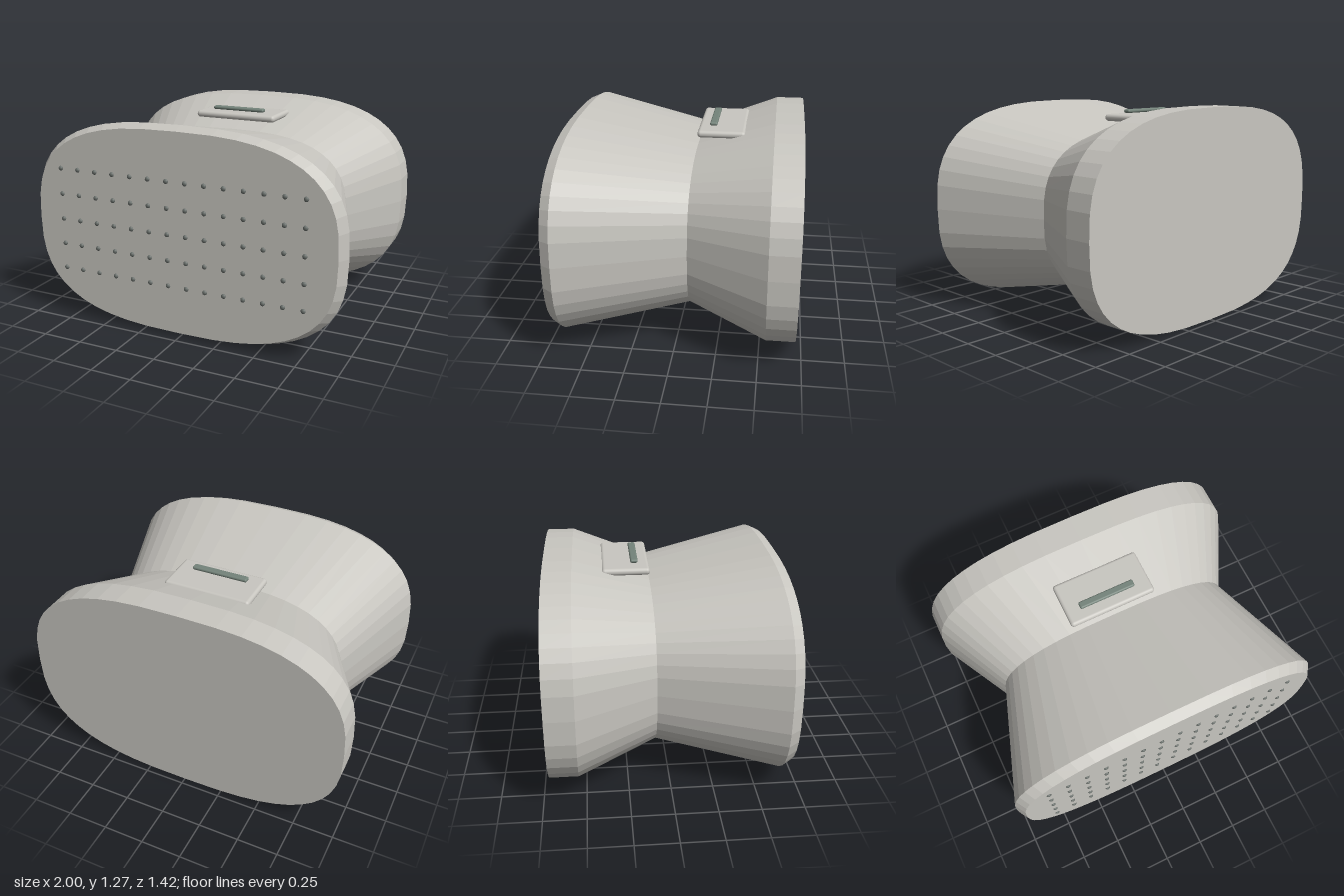
import * as THREE from 'three';
import { RoundedBoxGeometry } from 'three/addons/geometries/RoundedBoxGeometry.js';

const SEGMENTS = 48;
const POWER = 2 / 2.8; // superellipse roundness
const CENTRE_Y = 0.637;

// One superellipse ring of points at depth z
function ring({ z, hx, hy }) {
  const bend = (v) => Math.sign(v) * Math.pow(Math.abs(v), POWER);
  return Array.from({ length: SEGMENTS }, (_, i) => {
    const t = (i / SEGMENTS) * Math.PI * 2;
    return [hx * bend(Math.cos(t)), CENTRE_Y + hy * bend(Math.sin(t)), z];
  });
}

// Faceted loft through sections ordered front to back, capped at both ends
function loft(sections) {
  const rings = sections.map(ring);
  const last = rings.length - 1;
  const pos = [];
  const tri = (a, b, c) => pos.push(...a, ...b, ...c);
  for (let i = 0; i < SEGMENTS; i++) {
    const j = (i + 1) % SEGMENTS;
    for (let k = 0; k < last; k++) {
      const front = rings[k], back = rings[k + 1];
      tri(front[i], back[i], back[j]);
      tri(front[i], back[j], front[j]);
    }
    tri([0, CENTRE_Y, sections[0].z], rings[0][i], rings[0][j]);
    tri([0, CENTRE_Y, sections[last].z], rings[last][j], rings[last][i]);
  }
  const geo = new THREE.BufferGeometry();
  geo.setAttribute('position', new THREE.Float32BufferAttribute(pos, 3));
  geo.computeVertexNormals();
  return geo;
}

export function createModel() {
  const model = new THREE.Group();
  model.name = 'waistedSpeaker';

  const shell = new THREE.MeshStandardMaterial({ name: 'warm grey shell', color: 0xc8c6c0 });
  const slotGreen = new THREE.MeshStandardMaterial({ name: 'grey green slot', color: 0x74837a });
  const holeGrey = new THREE.MeshStandardMaterial({ name: 'dark grey holes', color: 0x6b716d });

  const add = (name, geo, mat, x = 0, y = 0, z = 0, parent = model) => {
    const mesh = new THREE.Mesh(geo, mat);
    mesh.name = name;
    mesh.position.set(x, y, z);
    parent.add(mesh);
    return mesh;
  };

  // Body: bevelled front, pinched waist, straight rear rim
  add('body', loft([
    { z: 0.7, hx: 0.96, hy: 0.61 },
    { z: 0.638, hx: 1, hy: 0.636 },
    { z: -0.082, hx: 0.76, hy: 0.482 },
    { z: -0.54, hx: 1, hy: 0.636 },
    { z: -0.71, hx: 1, hy: 0.636 },
  ]), shell);

  // Control plate over the waist, with a thin bar on it
  add('controlPlate', new RoundedBoxGeometry(0.54, 0.042, 0.285, 4, 0.02), shell, 0, 1.198, -0.225);
  add('controlBar', new RoundedBoxGeometry(0.35, 0.022, 0.045, 4, 0.0105), slotGreen, -0.005, 1.235, -0.172);

  // Grid of small studs on the front face
  const grille = new THREE.Group();
  grille.name = 'frontGrille';
  model.add(grille);
  const stud = new THREE.SphereGeometry(0.015, 10, 8);
  stud.scale(1, 1, 0.75);
  for (let row = 0; row < 5; row++) {
    for (let col = 0; col < 14; col++) {
      add('grilleStud', stud, holeGrey, -0.787 + col * 0.12, 0.32 + row * 0.159, 0.7, grille);
    }
  }
  return model;
}
